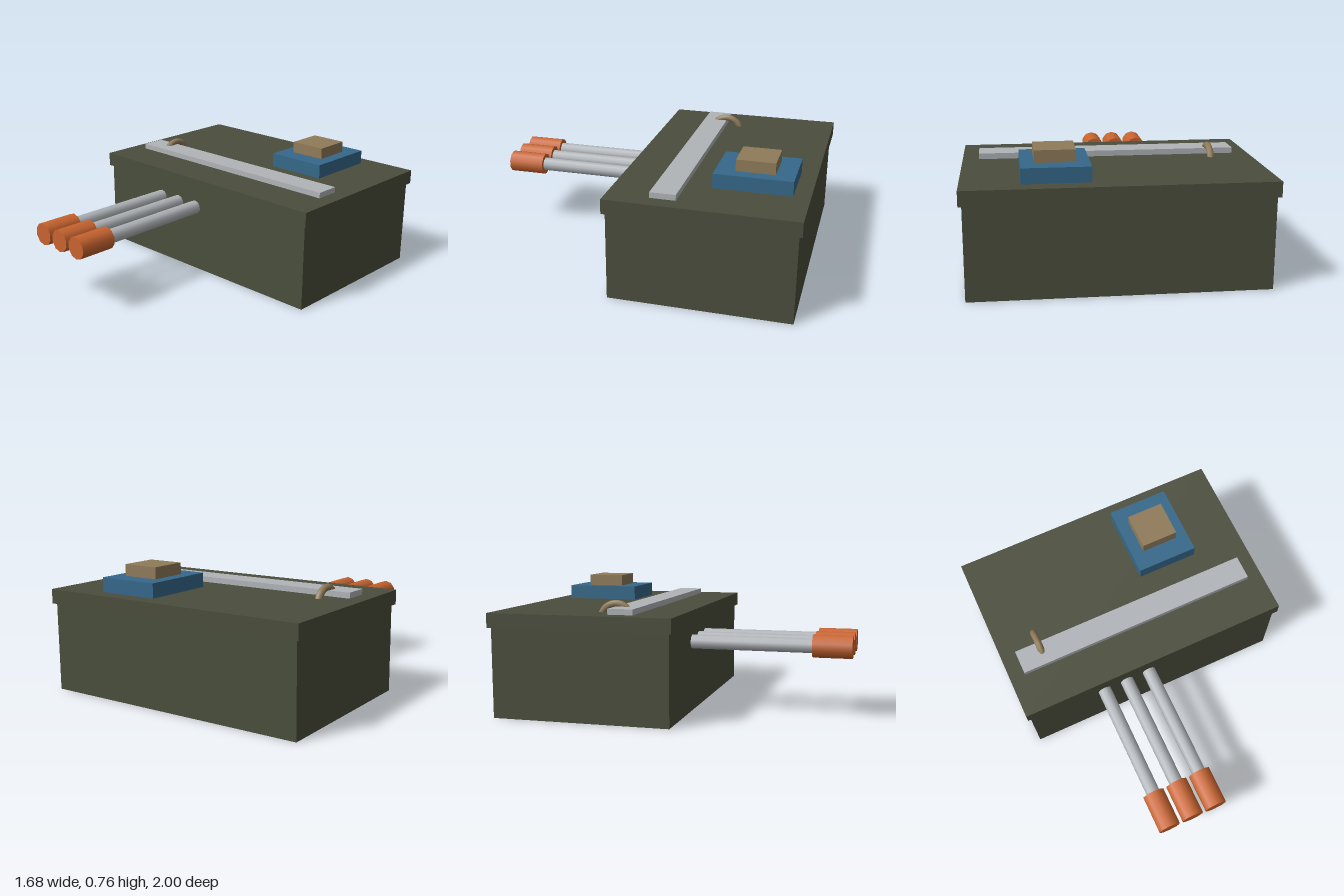
import * as THREE from 'three';

const material = (name, color) => {
  const m = new THREE.MeshStandardMaterial({ color });
  m.name = name;
  return m;
};

export function createModel() {
  const model = new THREE.Group();
  model.name = 'boxWithRods';

  const olive = material('olive', 0x4a4e3c);
  const steel = material('steel grey', 0xb0b4b8);
  const orange = material('orange', 0xc8642f);
  const blue = material('blue', 0x35688a);
  const tan = material('tan', 0x8f7b5a);

  const add = (name, geometry, mat, x, y, z, parent = model) => {
    const mesh = new THREE.Mesh(geometry, mat);
    mesh.name = name;
    mesh.position.set(x, y, z);
    parent.add(mesh);
    return mesh;
  };

  // Box given by its extents on each axis
  const box = (name, mat, [x0, x1], [y0, y1], [z0, z1]) =>
    add(name, new THREE.BoxGeometry(x1 - x0, y1 - y0, z1 - z0), mat,
      (x0 + x1) / 2, (y0 + y1) / 2, (z0 + z1) / 2);

  // Case and overhanging lid
  box('body', olive, [-0.822, 0.822], [0, 0.52], [-0.982, 0.065]);
  box('lid', olive, [-0.84, 0.84], [0.52, 0.605], [-1, 0.083]);

  // Fittings on the lid
  box('topStrip', steel, [-0.747, 0.747], [0.605, 0.638], [-0.311, -0.163]);
  box('blueBase', blue, [0.149, 0.521], [0.605, 0.69], [-0.905, -0.458]);
  box('tanBlock', tan, [0.223, 0.447], [0.69, 0.758], [-0.795, -0.572]);

  // Arched loop straddling the back edge of the strip
  const loop = add('loop', new THREE.TorusGeometry(0.095, 0.021, 8, 20, Math.PI), tan,
    -0.6, 0.558, -0.311);
  loop.rotation.y = Math.PI / 2;

  // Cylinder running along z from z0 to z1
  const rodGeometry = (radius, z0, z1) =>
    new THREE.CylinderGeometry(radius, radius, z1 - z0, 10)
      .rotateX(Math.PI / 2).translate(0, 0, (z0 + z1) / 2);
  const shaft = rodGeometry(0.042, 0.06, 0.78);
  const tip = rodGeometry(0.067, 0.775, 1);

  // Three rods with orange tips
  [-0.338, -0.188, -0.038].forEach((x, i) => {
    const rod = new THREE.Group();
    rod.name = `rod${i + 1}`;
    rod.position.set(x, 0.414, 0);
    add('shaft', shaft, steel, 0, 0, 0, rod);
    add('tip', tip, orange, 0, 0, 0, rod);
    model.add(rod);
  });

  return model;
}
